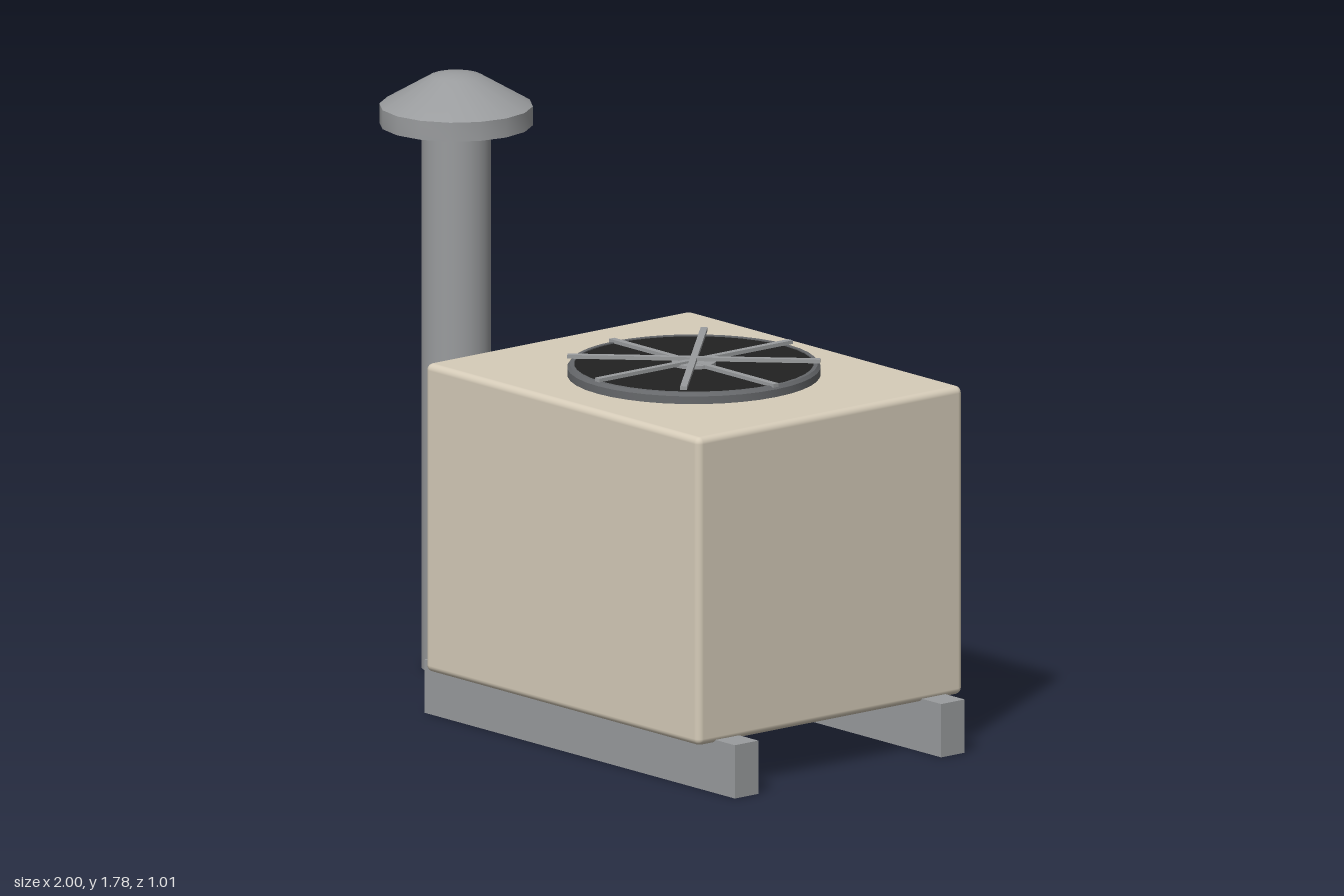
import * as THREE from 'three';
import { RoundedBoxGeometry } from 'three/addons/geometries/RoundedBoxGeometry.js';
import { toCreasedNormals } from 'three/addons/utils/BufferGeometryUtils.js';

const material = (name, color) => {
  const m = new THREE.MeshStandardMaterial({ color });
  m.name = name;
  return m;
};

export function createModel() {
  const model = new THREE.Group();
  model.name = 'rooftopUnit';
  const beige = material('beige paint', 0xd6ccb9);
  const steel = material('galvanised steel', 0x9a9c9e);
  const darkSteel = material('dark steel', 0x66686b);
  const black = material('black', 0x222222);

  const add = (name, geometry, mat, x, y, z, parent = model) => {
    const mesh = new THREE.Mesh(geometry, mat);
    mesh.name = name;
    mesh.position.set(x, y, z);
    parent.add(mesh);
    return mesh;
  };
  const lathe = (points, sides) => toCreasedNormals(
    new THREE.LatheGeometry(points.map(([r, y]) => new THREE.Vector2(r, y)), sides), 0.5);

  // Cabinet with softly rounded edges
  add('cabinet', new RoundedBoxGeometry(1.235, 0.925, 1.015, 3, 0.02), beige, 0.298, 0.6125, 0);

  // Two support rails under the cabinet
  for (const side of [1, -1]) {
    add(side > 0 ? 'frontRail' : 'backRail', new THREE.BoxGeometry(1.4, 0.16, 0.09), steel, 0.3, 0.08, side * 0.395);
  }

  // Vent pipe with a mushroom cap
  const vent = new THREE.Group();
  vent.name = 'ventPipe';
  vent.position.x = -0.775;
  model.add(vent);
  add('pipe', new THREE.CylinderGeometry(0.102, 0.102, 1.62, 24), steel, 0, 0.81, 0, vent);
  add('ventCap', lathe([[0, 1.605], [0.1, 1.605], [0.225, 1.63], [0.225, 1.687],
    [0.075, 1.775], [0.035, 1.784], [0, 1.785]], 16), steel, 0, 0, 0, vent);

  // Fan opening: raised ring, black well and hub
  const fan = new THREE.Group();
  fan.name = 'fan';
  fan.position.set(0.297, 0, 0);
  model.add(fan);
  add('fanRing', lathe([[0.35, 1.07], [0.37, 1.07], [0.37, 1.098], [0.362, 1.108],
    [0.35, 1.108], [0.35, 1.07]], 40), darkSteel, 0, 0, 0, fan);
  add('fanWell', new THREE.CylinderGeometry(0.352, 0.352, 0.03, 40), black, 0, 1.09, 0, fan);
  add('fanHub', new THREE.CylinderGeometry(0.065, 0.065, 0.012, 16), steel, 0, 1.109, 0, fan);

  // Guard bars crossing the opening, stacked slightly
  [1.11, 1.123, 1.116, 1.123].forEach((y, i) => {
    const bar = add('guardBar', new THREE.BoxGeometry(0.74, 0.011, 0.02), steel, 0, y, 0, fan);
    bar.rotation.y = i * Math.PI / 4;
  });
  return model;
}
